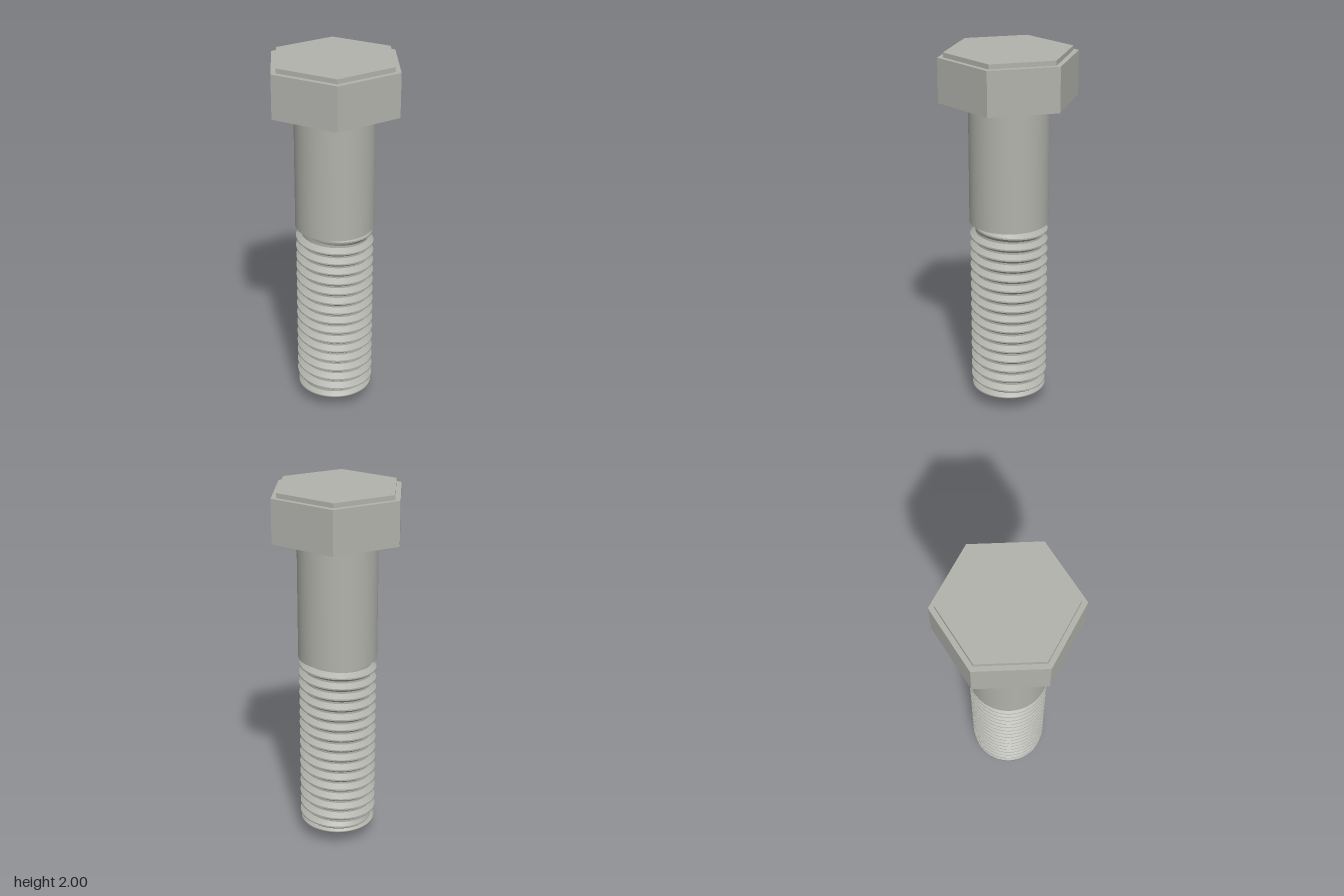
import * as THREE from 'three';

const steel = new THREE.MeshStandardMaterial({ color: 0xb2b2ac });
steel.name = 'steel grey';

function add(group, name, geometry, y = 0) {
  const mesh = new THREE.Mesh(geometry, steel);
  mesh.name = name;
  mesh.position.y = y;
  group.add(mesh);
  return mesh;
}

// Six-sided prism with corners on the x axis and sharp edges
function hexPrism(radius, height) {
  const shape = new THREE.Shape();
  for (let i = 0; i < 6; i++) {
    const a = (i * Math.PI) / 3;
    shape[i ? 'lineTo' : 'moveTo'](radius * Math.cos(a), radius * Math.sin(a));
  }
  shape.closePath();
  return new THREE.ExtrudeGeometry(shape, { depth: height, bevelEnabled: false }).rotateX(-Math.PI / 2);
}

// Ridge swept along a helix; each flank has its own vertices to keep the edges crisp
function threadGeometry(yStart, yEnd, pitch, root, crest) {
  const segments = 64;
  const steps = Math.round(((yEnd - yStart) / pitch) * segments);
  const profile = [[0, -0.026], [1, -0.004], [1, 0.004], [0, 0.026]];
  const positions = [], index = [];
  for (let band = 0; band < 3; band++) {
    const base = positions.length / 3;
    for (let i = 0; i <= steps; i++) {
      const turn = i / segments;
      const angle = Math.PI + turn * Math.PI * 2;
      // the ridge fades out over its first and last half turn
      const fade = Math.min(1, turn * 2, ((steps - i) / segments) * 2);
      for (const [out, dy] of [profile[band], profile[band + 1]]) {
        const r = root + (crest - root) * out * fade;
        positions.push(r * Math.cos(angle), yStart + turn * pitch + dy, r * Math.sin(angle));
      }
      if (i < steps) {
        const a = base + i * 2;
        index.push(a, a + 1, a + 2, a + 1, a + 3, a + 2);
      }
    }
  }
  const geometry = new THREE.BufferGeometry();
  geometry.setAttribute('position', new THREE.Float32BufferAttribute(positions, 3));
  geometry.setIndex(index);
  geometry.computeVertexNormals();
  return geometry;
}

export function createModel() {
  const bolt = new THREE.Group();
  bolt.name = 'hexBolt';

  // Head with a slightly smaller raised face
  add(bolt, 'head', hexPrism(0.37, 0.235), 1.74);
  add(bolt, 'headFace', hexPrism(0.34, 0.025), 1.975);

  // Smooth shank
  add(bolt, 'shank', new THREE.CylinderGeometry(0.212, 0.212, 0.67, 64), 1.405);

  // Threaded section
  add(bolt, 'threadCore', new THREE.CylinderGeometry(0.18, 0.18, 0.99, 64, 1, true), 0.575);
  add(bolt, 'thread', threadGeometry(0.1, 1.06, 0.06, 0.178, 0.209));

  // Domed end with a small centre stub
  const dome = [[0.055, 0.03], [0.09, 0.035], [0.135, 0.05], [0.175, 0.068], [0.203, 0.088], [0.203, 0.098], [0.178, 0.115]];
  add(bolt, 'domedEnd', new THREE.LatheGeometry(dome.map(([r, y]) => new THREE.Vector2(r, y)), 64));
  add(bolt, 'endStub', new THREE.CylinderGeometry(0.062, 0.055, 0.034, 32), 0.017);

  return bolt;
}
